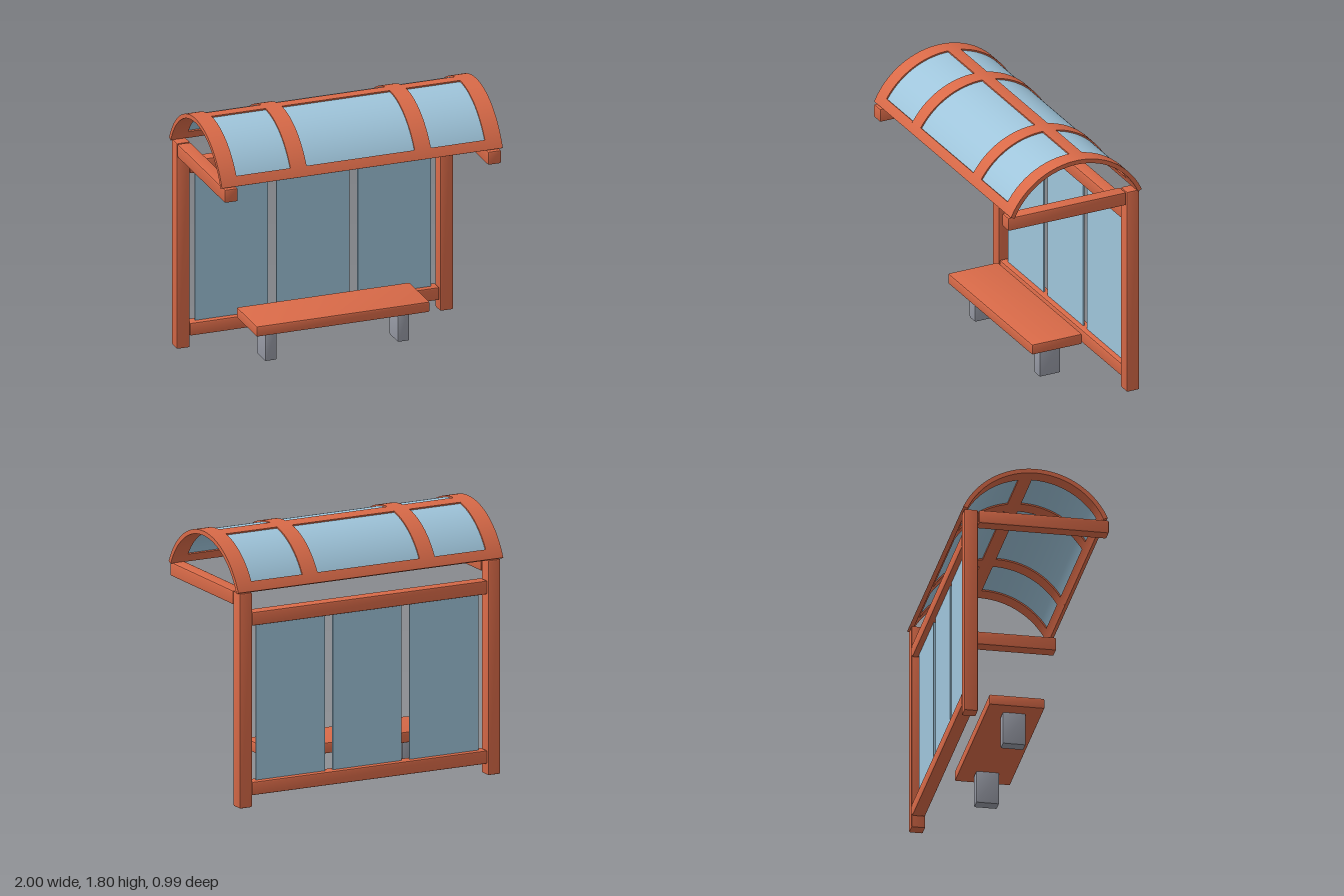
import * as THREE from 'three';
import { toCreasedNormals } from 'three/addons/utils/BufferGeometryUtils.js';
import { RoundedBoxGeometry } from 'three/addons/geometries/RoundedBoxGeometry.js';

const mat = (name, color, side = THREE.FrontSide) => {
  const m = new THREE.MeshStandardMaterial({ color, side });
  m.name = name;
  return m;
};

// Roof arc: centre line and radii
const ROOF = { y: 1.265, z: -0.005, outer: 0.535, inner: 0.505 };

export function createModel() {
  const model = new THREE.Group();
  model.name = 'busShelter';
  const frame = mat('paintedFrame', 0xd96a48);
  const glass = mat('blueGlass', 0x9fc5db);
  const metal = mat('greyMetal', 0x989ba6);

  const add = (parent, name, geometry, material) => {
    const mesh = new THREE.Mesh(geometry, material);
    mesh.name = name;
    parent.add(mesh);
    return mesh;
  };

  // Box given by its limits, with slightly softened edges when bevel > 0
  const box = (parent, name, material, [x0, x1], [y0, y1], [z0, z1], bevel = 0.01) => {
    const size = [x1 - x0, y1 - y0, z1 - z0];
    const geometry = bevel
      ? toCreasedNormals(new RoundedBoxGeometry(...size, 1, bevel), 0.4)
      : new THREE.BoxGeometry(...size);
    add(parent, name, geometry, material)
      .position.set((x0 + x1) / 2, (y0 + y1) / 2, (z0 + z1) / 2);
  };

  // Curved plate between two x limits and two angles from the crown (degrees, + is front)
  const arcPlate = (parent, name, material, [x0, x1], [a0, a1], rIn, rOut) => {
    const p0 = THREE.MathUtils.degToRad(90 + a0);
    const p1 = THREE.MathUtils.degToRad(90 + a1);
    const shape = new THREE.Shape();
    shape.absarc(0, 0, rOut, p0, p1, false);
    shape.absarc(0, 0, rIn, p1, p0, true);
    shape.closePath();
    const geometry = new THREE.ExtrudeGeometry(shape, {
      depth: x1 - x0,
      bevelEnabled: false,
      curveSegments: Math.max(4, Math.ceil((a1 - a0) / 3)),
    });
    geometry.rotateY(Math.PI / 2);
    add(parent, name, toCreasedNormals(geometry, 0.5), material)
      .position.set(x0, ROOF.y, ROOF.z);
  };

  // Posts and roof arms
  for (const [side, s] of [['left', 1], ['right', -1]]) {
    const x = s > 0 ? [0.89, 0.985] : [-0.985, -0.89];
    box(model, side + 'Post', frame, x, [0, 1.475], [-0.485, -0.39]);
    box(model, side + 'RoofArm', frame, x, [1.38, 1.475], [-0.385, 0.495]);
  }

  // Back wall: two rails and three panes
  const wall = new THREE.Group();
  wall.name = 'backWall';
  model.add(wall);
  box(wall, 'lowerRail', frame, [-0.888, 0.888], [0.08, 0.172], [-0.482, -0.393]);
  box(wall, 'upperRail', frame, [-0.888, 0.888], [1.243, 1.337], [-0.482, -0.393]);
  for (const x of [-0.58, 0, 0.58]) {
    box(wall, 'wallPane', glass, [x - 0.26, x + 0.26], [0.16, 1.255], [-0.443, -0.432], 0);
  }

  // Bench
  const bench = new THREE.Group();
  bench.name = 'bench';
  model.add(bench);
  box(bench, 'seat', frame, [-0.617, 0.617], [0.23, 0.305], [-0.245, 0.13]);
  for (const x of [-0.472, 0.472]) {
    box(bench, 'benchLeg', metal, [x - 0.043, x + 0.043], [0, 0.232], [-0.135, 0.022]);
  }

  // Arched roof: four hoops, three lengthwise strips, glass set between them
  const roof = new THREE.Group();
  roof.name = 'roof';
  model.add(roof);
  const END = 65.8;
  for (const x of [[-1, -0.885], [-0.5, -0.385], [0.385, 0.5], [0.885, 1]]) {
    arcPlate(roof, 'roofHoop', frame, x, [-END, END], ROOF.inner, ROOF.outer);
  }
  for (const x of [[-0.885, -0.5], [-0.385, 0.385], [0.5, 0.885]]) {
    for (const a of [[-END, -58.3], [-10.8, -0.5], [58.3, END]]) {
      arcPlate(roof, 'roofStrip', frame, x, a, ROOF.inner, ROOF.outer);
    }
    for (const a of [[-58.3, -10.8], [-0.5, 58.3]]) {
      arcPlate(roof, 'roofPane', glass, x, a, 0.515, 0.525);
    }
  }

  return model;
}
